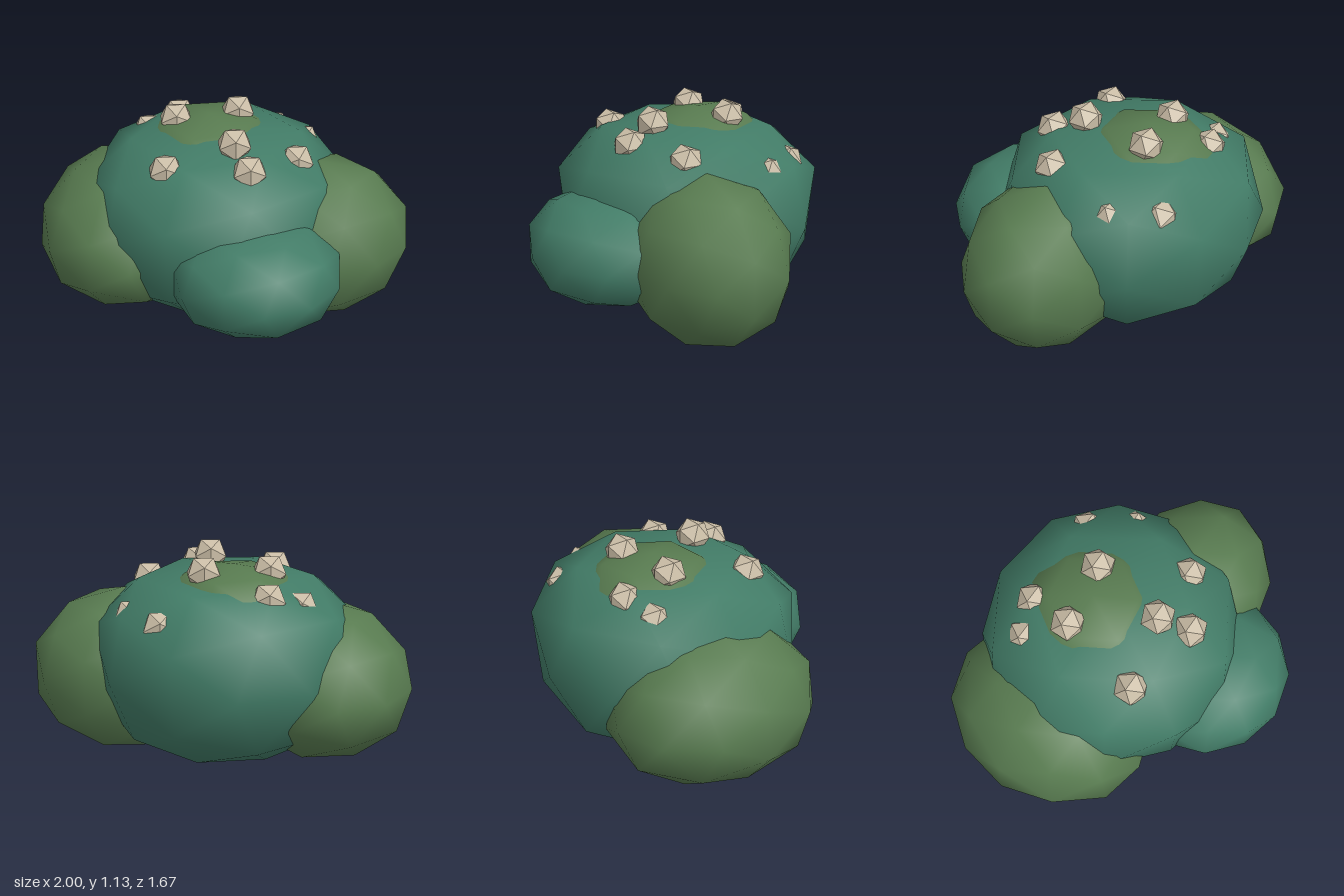
import * as THREE from 'three';
import { mergeVertices } from 'three/addons/utils/BufferGeometryUtils.js';

export function createModel() {
  const model = new THREE.Group();
  model.name = 'bush';

  const material = (name, color) => {
    const m = new THREE.MeshStandardMaterial({ color });
    m.name = name;
    return m;
  };
  const teal = material('tealLeaf', 0x427c67);
  const olive = material('oliveLeaf', 0x587b50);
  const cream = material('creamBlossom', 0xcabda6);
  cream.flatShading = true;

  // Leaf mass: a smooth icosphere, turned, then stretched along the world axes.
  // "fullness" pushes the shoulders towards top and bottom, for a boxier mass;
  // "taper" widens the upper half and narrows the lower one.
  const leafMass = (name, mat, center, radii, fullness = 0, taper = 0) => {
    const sphere = new THREE.IcosahedronGeometry(1, 1);
    sphere.deleteAttribute('normal');
    sphere.deleteAttribute('uv');
    const geometry = mergeVertices(sphere);
    geometry.rotateY(-1.02);
    const position = geometry.attributes.position;
    for (let i = 0; i < position.count; i++) {
      const h = position.getY(i);
      const width = 1 + taper * h;
      position.setXYZ(i, position.getX(i) * width, h + fullness * h * (1 - Math.abs(h)), position.getZ(i) * width);
    }
    geometry.scale(...radii);
    geometry.computeVertexNormals();
    const mesh = new THREE.Mesh(geometry, mat);
    mesh.name = name;
    mesh.position.set(...center);
    model.add(mesh);
  };
  leafMass('mainFoliage', teal, [-0.02, 0.54, -0.13], [0.725, 0.51, 0.71], 0.5, 0.09);
  leafMass('leftFoliage', olive, [0.51, 0.45, 0.037], [0.515, 0.45, 0.425], 0.08);
  leafMass('rightFoliage', olive, [-0.52, 0.455, -0.19], [0.49, 0.415, 0.575], 0, -0.1);
  leafMass('frontFoliage', teal, [0.13, 0.457, 0.415], [0.46, 0.29, 0.42], 0.25);
  leafMass('topFoliage', olive, [-0.05, 0.74, -0.22], [0.43, 0.34, 0.44], 0.4);

  // Blossoms: faceted beads scattered over the crown, some half sunk in the leaves
  const blossomGeometry = new THREE.IcosahedronGeometry(0.096, 0);
  const blossoms = new THREE.Group();
  blossoms.name = 'blossoms';
  [
    [-0.37, 0.895, -0.43],
    [-0.2, 0.955, -0.49],
    [0.34, 0.835, -0.53],
    [0.48, 0.84, -0.33],
    [0.11, 1.05, -0.3],
    [-0.23, 1.04, -0.25],
    [0.05, 1.05, 0.11],
    [0.38, 0.93, 0.09],
    [-0.31, 0.955, 0.19],
    [0.11, 0.97, 0.27],
  ].forEach((p) => {
    const bead = new THREE.Mesh(blossomGeometry, cream);
    bead.name = 'blossom';
    bead.position.set(...p);
    blossoms.add(bead);
  });
  model.add(blossoms);

  return model;
}
